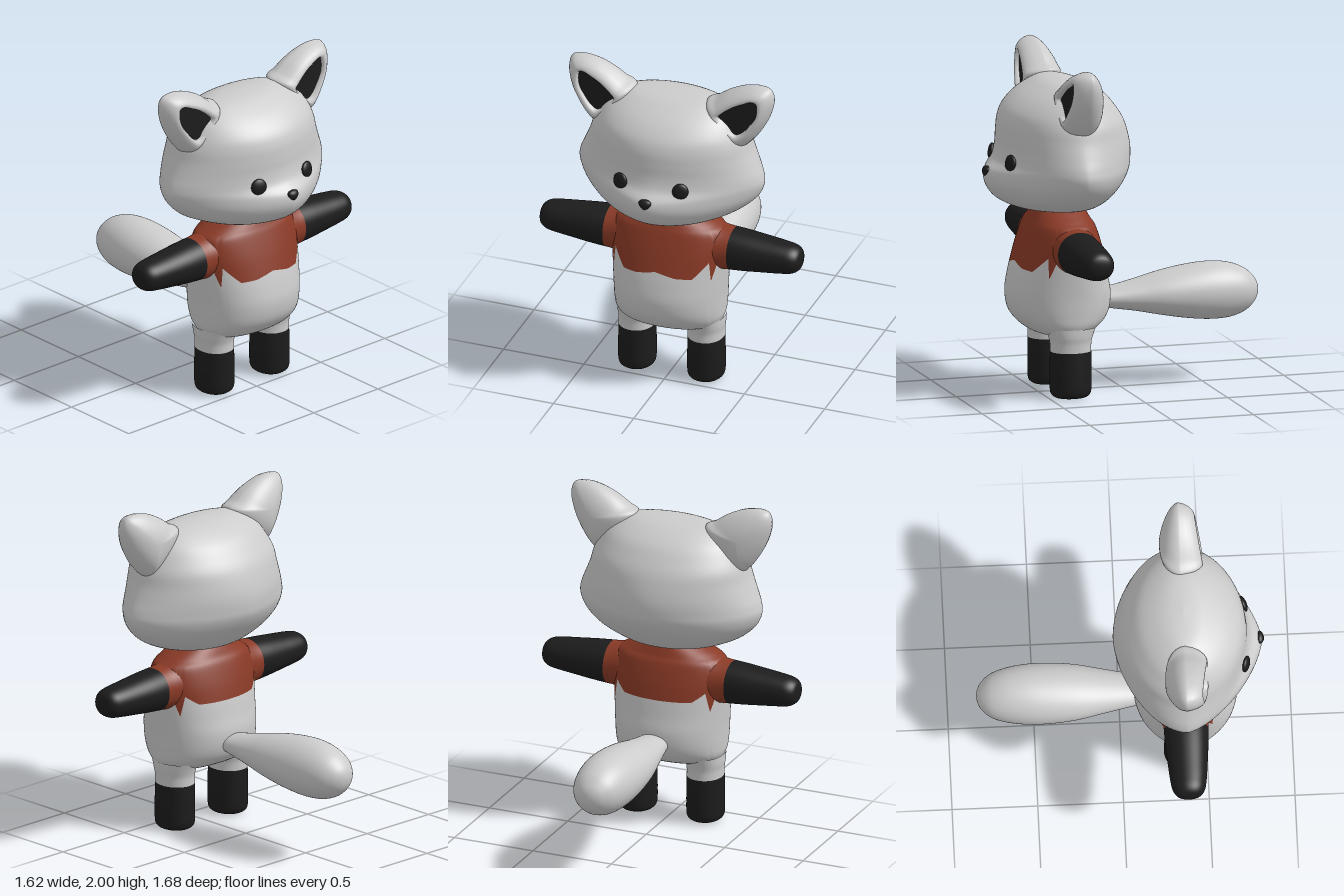
import * as THREE from 'three';

const GREY = 0xcccccc, DARK = 0x1c1c1c, RED = 0x8a3a26;

function mesh(name, geometry, color = GREY) {
  const m = new THREE.Mesh(geometry, new THREE.MeshStandardMaterial({ color }));
  m.name = name;
  return m;
}

// Smooth closed-loop surface: fn(row 0..1, column index) gives a point
function surface(rows, cols, fn) {
  const pos = [], idx = [];
  for (let i = 0; i <= rows; i++)
    for (let j = 0; j < cols; j++) pos.push(...fn(i / rows, j));
  for (let i = 0; i < rows; i++)
    for (let j = 0; j < cols; j++) {
      const k = (j + 1) % cols;
      const a = i * cols + j, b = i * cols + k, c = a + cols, d = b + cols;
      idx.push(a, c, b, b, c, d);
    }
  const g = new THREE.BufferGeometry();
  g.setAttribute('position', new THREE.Float32BufferAttribute(pos, 3));
  g.setIndex(idx);
  g.computeVertexNormals();
  return g;
}

// Smooth value between keys at a fractional key index
function sample(keys, v, col) {
  const n = keys.length - 1, i = Math.min(Math.floor(v), n - 1), t = v - i;
  const [a, b, c, d] = [i - 1, i, i + 1, i + 2].map(k => keys[THREE.MathUtils.clamp(k, 0, n)][col]);
  return b + 0.5 * t * (c - a + t * (2 * a - 5 * b + 4 * c - d + t * (3 * (b - c) + d - a)));
}

// Point on a body of stacked superellipses; key = [y, halfWidth, zFront, zBack, pFront, pBack]
function ringPoint(keys, v, ang, zc) {
  const [y, w, f, b, pf, pb] = [0, 1, 2, 3, 4, 5].map(c => sample(keys, v, c));
  const c = Math.cos(ang), s = Math.sin(ang), e = 2 / (s >= 0 ? pf : pb);
  const r = Math.abs(s) ** e * (s >= 0 ? f - zc : zc - b);
  return [Math.sign(c) * Math.abs(c) ** e * Math.max(w, 0), y, zc + Math.sign(s) * r];
}

const COLS = 120;
const angle = j => (j / COLS) * Math.PI * 2;

function loft(keys, zc = 0, from = () => 0, to = () => keys.length - 1, rows = 6 * (keys.length - 1)) {
  return surface(rows, COLS, (u, j) =>
    ringPoint(keys, THREE.MathUtils.lerp(from(j), to(j), u), angle(j), zc));
}

// Round limb along y: key = [y, halfWidth, halfDepth]
const limb = keys => loft(keys.map(([y, w, d]) => [y, w, d, -d, 2.1, 2.1]));

const HEAD = [
  [1.088, 0, 0.37, 0.37, 2, 2], [1.095, 0.16, 0.5, 0.25, 2, 2], [1.115, 0.28, 0.63, 0.17, 1.9, 2],
  [1.15, 0.38, 0.72, 0.12, 1.75, 1.95], [1.2, 0.47, 0.785, 0.07, 1.6, 1.9],
  [1.27, 0.54, 0.825, 0.01, 1.5, 1.8], [1.34, 0.57, 0.822, -0.03, 1.47, 1.72],
  [1.4, 0.56, 0.768, -0.04, 1.63, 1.72], [1.47, 0.53, 0.745, -0.038, 1.76, 1.8],
  [1.55, 0.497, 0.738, -0.02, 1.86, 1.9], [1.63, 0.472, 0.727, 0.01, 1.92, 2],
  [1.7, 0.435, 0.695, 0.055, 2, 2], [1.77, 0.385, 0.625, 0.115, 2, 2],
  [1.825, 0.31, 0.535, 0.2, 2, 2], [1.855, 0.21, 0.46, 0.28, 2, 2], [1.866, 0, 0.37, 0.37, 2, 2],
];

const BODY = [
  [0.357, 0, 0.38, 0.38], [0.36, 0.2, 0.47, 0.29], [0.38, 0.29, 0.555, 0.22], [0.43, 0.325, 0.622, 0.135],
  [0.5, 0.332, 0.67, 0.09], [0.6, 0.336, 0.685, 0.08], [0.7, 0.343, 0.668, 0.1], [0.8, 0.35, 0.64, 0.12],
  [0.9, 0.355, 0.607, 0.145], [1.0, 0.335, 0.568, 0.18], [1.04, 0.28, 0.548, 0.205],
  [1.075, 0.215, 0.53, 0.222], [1.1, 0.17, 0.515, 0.235], [1.13, 0.14, 0.49, 0.25],
].map(k => [...k, 2.15, 2.15]);

// Zigzag hem height by angle from the side (degrees), front and back
const HEM_FRONT = [[0, 0.82], [24, 0.82], [30, 0.73], [36, 0.85], [54, 0.76], [72, 0.765], [90, 0.79]];
const HEM_BACK = [[0, 0.82], [24, 0.82], [30, 0.73], [39, 0.85], [54, 0.8], [90, 0.8]];
function hem(j) {
  const s = Math.sin(angle(j));
  const deg = Math.asin(Math.abs(s)) * 180 / Math.PI, keys = s >= 0 ? HEM_FRONT : HEM_BACK;
  const i = Math.max(1, keys.findIndex(k => k[0] >= deg - 1e-6));
  const [a, ya] = keys[i - 1], [b, yb] = keys[i];
  const y = ya + (yb - ya) * (deg - a) / (b - a);
  return 7 + (y - 0.8) / 0.1; // keys around the hem are evenly spaced
}

// Matching outlines of the ear and of its inner hollow
const EAR_OUT = [[0.22, 1.85], [0.3, 1.7], [0.46, 1.6], [0.5, 1.63], [0.56, 1.71], [0.615, 1.82],
  [0.637, 1.93], [0.615, 1.985], [0.55, 2.0], [0.46, 1.985], [0.36, 1.94], [0.28, 1.885]];
const EAR_IN = [[0.325, 1.8], [0.37, 1.745], [0.43, 1.7], [0.465, 1.715], [0.51, 1.765], [0.55, 1.83],
  [0.557, 1.89], [0.548, 1.92], [0.52, 1.925], [0.47, 1.905], [0.41, 1.875], [0.345, 1.825]];

function ear(side) {
  const g = new THREE.Group(), N = 72;
  const loop = pts => new THREE.CatmullRomCurve3(
    pts.map(p => new THREE.Vector3(...p, 0)), true).getPoints(N).slice(0, N);
  const outer = loop(EAR_OUT), inner = loop(EAR_IN);
  const mid = new THREE.Vector3(0.46, 1.82, 0);
  // The ear gets thinner towards its tip
  const place = (p, depth) => {
    const t = THREE.MathUtils.clamp((p.x + p.y - 2.1) / 0.5, 0, 1);
    return [p.x, p.y, 0.37 + depth * (0.138 - 0.052 * t)];
  };
  // Front rim from the hollow outwards, [blend to hollow, depth], then the rounded back
  const rim = [[1, 0.68], [0.97, 0.84], [0.85, 0.93], [0.65, 0.9], [0.45, 0.79], [0.25, 0.6], [0.1, 0.34], [0, 0]];
  const back = 14, rows = rim.length - 1 + back;
  const shell = surface(rows, N, (u, j) => {
    const i = Math.round(u * rows);
    if (i < rim.length) return place(outer[j].clone().lerp(inner[j], rim[i][0]), rim[i][1]);
    const a = ((i - rim.length + 1) / back) * Math.PI / 2;
    return place(mid.clone().lerp(outer[j], Math.cos(a)), -Math.sin(a));
  });
  const hollow = surface(4, N, (u, j) => place(mid.clone().lerp(inner[j], u), 0.68));
  for (const [name, geo, color] of [['earShell', shell, GREY], ['innerEar', hollow, DARK]]) {
    if (side < 0) { // mirror and turn the faces back outwards
      geo.scale(-1, 1, 1);
      geo.index.array.reverse();
      geo.computeVertexNormals();
    }
    g.add(mesh(name, geo, color));
  }
  g.name = side > 0 ? 'leftEar' : 'rightEar';
  return g;
}

export function createModel() {
  const model = new THREE.Group();
  model.name = 'standingAnimal';

  // Head and face
  model.add(mesh('head', loft(HEAD, 0.37)));
  const nose = new THREE.SphereGeometry(1, 32, 20);
  const p = nose.attributes.position;
  for (let i = 0; i < p.count; i++) p.setX(i, p.getX(i) * (0.85 + 0.3 * p.getY(i)));
  nose.scale(0.043, 0.032, 0.026).translate(0, 1.332, 0.815);
  nose.computeVertexNormals();
  model.add(mesh('nose', nose, DARK));

  // Torso with the coloured upper part
  model.add(mesh('torso', loft(BODY, 0.38, () => 0, hem, 48)));
  model.add(mesh('shirt', loft(BODY, 0.38, hem, () => BODY.length - 1, 40), RED));

  for (const side of [1, -1]) {
    const label = side > 0 ? 'left' : 'right';
    model.add(ear(side));

    const eye = mesh(label + 'Eye', new THREE.SphereGeometry(1, 32, 20), DARK);
    eye.scale.set(0.048, 0.049, 0.02);
    eye.position.set(side * 0.187, 1.41, 0.728);
    eye.rotation.set(-0.15, side * 0.3, 0);
    model.add(eye);

    // Sleeve and arm reach out sideways
    const sleeve = limb([[0.2, 0.15, 0.15], [0.28, 0.14, 0.14], [0.34, 0.13, 0.132], [0.385, 0.126, 0.13]]);
    const arm = limb([[0.385, 0.126, 0.13], [0.48, 0.118, 0.126], [0.6, 0.105, 0.116], [0.7, 0.094, 0.106],
      [0.76, 0.084, 0.094], [0.795, 0.063, 0.07], [0.808, 0.035, 0.038], [0.812, 0, 0]]);
    for (const [name, geo, color] of [['Sleeve', sleeve, RED], ['Arm', arm, DARK]]) {
      geo.rotateZ(-side * Math.PI / 2).translate(0, 0.887, 0.37);
      model.add(mesh(label + name, geo, color));
    }

    // Leg with a dark foot
    const foot = limb([[0, 0, 0], [0.002, 0.06, 0.07], [0.012, 0.092, 0.102], [0.04, 0.108, 0.12],
      [0.12, 0.11, 0.122], [0.2, 0.109, 0.122], [0.28, 0.107, 0.121]]);
    const thigh = limb([[0.28, 0.107, 0.121], [0.33, 0.107, 0.122], [0.37, 0.112, 0.132], [0.42, 0.112, 0.15]]);
    for (const [name, geo, color] of [['Foot', foot, DARK], ['Thigh', thigh, GREY]])
      model.add(mesh(label + name, geo.translate(side * 0.215, 0, 0.37), color));
  }

  // Tail: key = [distance back, halfWidth, yTop, yBottom]
  const tail = loft([
    [-0.12, 0.09, 0.59, 0.48], [-0.03, 0.108, 0.606, 0.466], [0.1, 0.135, 0.635, 0.444], [0.25, 0.166, 0.672, 0.412],
    [0.4, 0.18, 0.698, 0.385], [0.54, 0.178, 0.709, 0.37], [0.66, 0.16, 0.697, 0.375], [0.75, 0.13, 0.662, 0.405],
    [0.805, 0.085, 0.615, 0.45], [0.83, 0.042, 0.575, 0.492], [0.838, 0, 0.535, 0.535],
  ].map(k => [...k, 2, 2]), 0.535);
  model.add(mesh('tail', tail.rotateX(-Math.PI / 2)));

  return model;
}
